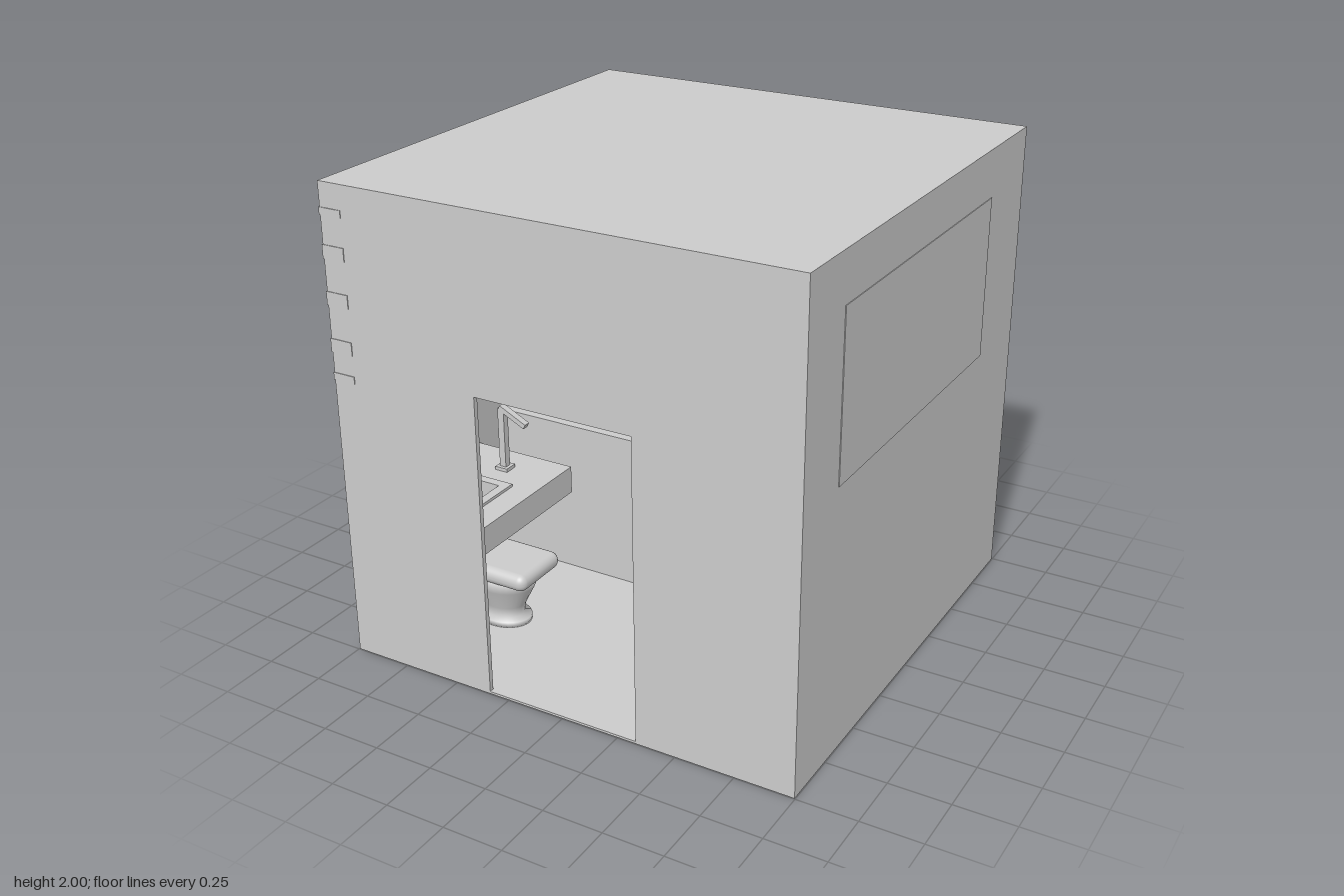
import * as THREE from 'three';
import { RoundedBoxGeometry } from 'three/addons/geometries/RoundedBoxGeometry.js';

const grey = new THREE.MeshStandardMaterial({ color: 0xcccccc });
const W = 0.997; // outer wall plane
const T = 0.02;  // wall thickness
const I = W - T; // inner wall plane

export function createModel() {
  const model = new THREE.Group();

  const add = (name, geometry, parent = model) => {
    const mesh = new THREE.Mesh(geometry, grey);
    mesh.name = name;
    parent.add(mesh);
    return mesh;
  };
  const group = (name) => {
    const g = new THREE.Group();
    g.name = name;
    model.add(g);
    return g;
  };
  // Box given by its limits on each axis
  const box = (name, [x0, x1], [y0, y1], [z0, z1], parent) => {
    const g = new THREE.BoxGeometry(x1 - x0, y1 - y0, z1 - z0);
    return add(name, g.translate((x0 + x1) / 2, (y0 + y1) / 2, (z0 + z1) / 2), parent);
  };
  const rounded = (name, [x0, x1], [y0, y1], [z0, z1], radius, parent) => {
    const g = new RoundedBoxGeometry(x1 - x0, y1 - y0, z1 - z0, 6, radius);
    return add(name, g.translate((x0 + x1) / 2, (y0 + y1) / 2, (z0 + z1) / 2), parent);
  };
  const outline = (points) => new THREE.Shape(points.map(([x, y]) => new THREE.Vector2(x, y)));

  // Shell of the cabin
  const shell = group('shell');
  box('floor', [-W, W], [0, 0.01], [-W, W], shell);
  box('roof', [-W, W], [1.98, 2], [-W, W], shell);
  box('backWall', [-W, W], [0.01, 1.98], [-W, -I], shell);
  for (const s of [-1, 1]) {
    box(s < 0 ? 'rightWall' : 'leftWall', [s < 0 ? -W : I, s < 0 ? -I : W], [0.01, 1.98], [-I, I], shell);
  }

  // Front wall with the doorway cut out
  const front = outline([
    [-W, 0.01], [-0.34, 0.01], [-0.34, 1.28], [0.33, 1.28],
    [0.33, 0.01], [W, 0.01], [W, 1.98], [-W, 1.98],
  ]);
  add('frontWall', new THREE.ExtrudeGeometry(front, { depth: T, bevelEnabled: false }).translate(0, 0, I), shell);

  // Large side window, almost flush with the wall
  box('sideWindow', [I - 0.003, 1], [1.13, 1.8], [-0.63, 0.72]);

  // Horizontal window bands wrapping the back, the side and the front corner
  const slots = group('windowBands');
  for (const [y0, y1] of [[1.87, 1.9], [1.7, 1.755], [1.515, 1.57], [1.325, 1.38], [1.21, 1.24]]) {
    const k = I - 0.003;
    const band = outline([
      [0.25, 1], [-1, 1], [-1, -1], [-0.9, -1], [-0.9, -k], [-k, -k], [-k, k], [0.25, k],
    ]);
    const g = new THREE.ExtrudeGeometry(band, { depth: y1 - y0, bevelEnabled: false });
    add('windowBand', g.rotateX(-Math.PI / 2).translate(0, y0, 0), slots);
  }

  // Raised bed across the back half
  const bed = group('bed');
  box('bedPlatform', [-I, I], [0.01, 0.7], [-I, 0], bed);
  rounded('mattress', [-I, I], [0.7, 0.853], [-I, 0], 0.07, bed);
  rounded('pillow', [0.6, 0.92], [0.84, 0.92], [-0.8, -0.2], 0.039, bed);

  // Counter with a shallow basin
  const wash = group('washstand');
  const hole = new THREE.Path([[-0.87, -0.76], [-0.65, -0.76], [-0.65, -0.46], [-0.87, -0.46]]
    .map(([x, y]) => new THREE.Vector2(x, y)));
  const slab = (name, pts, y, h) => {
    const shape = outline(pts);
    shape.holes.push(hole);
    const g = new THREE.ExtrudeGeometry(shape, { depth: h, bevelEnabled: false });
    add(name, g.rotateX(-Math.PI / 2).translate(0, y, 0), wash);
  };
  slab('counter', [[-I, -I], [-0.5, -I], [-0.5, -0.146], [-I, -0.146]], 0.47, 0.12);
  slab('basinRim', [[-0.91, -0.8], [-0.61, -0.8], [-0.61, -0.42], [-0.91, -0.42]], 0.59, 0.012);
  box('basinBottom', [-0.87, -0.65], [0.47, 0.48], [0.46, 0.76], wash);

  // Tall tap with a sloping spout
  box('tapBase', [-0.765, -0.705], [0.59, 0.605], [0.265, 0.325], wash);
  box('tapStem', [-0.75, -0.72], [0.605, 0.87], [0.28, 0.31], wash);
  const spout = add('tapSpout', new THREE.BoxGeometry(0.14, 0.022, 0.03), wash);
  spout.position.set(-0.68, 0.845, 0.295);
  spout.rotation.z = -0.45;

  // Toilet facing the middle of the room: stacked rounded sections
  const toilet = group('toilet');
  const cx = -0.62, cz = 0.5;
  const bowl = new THREE.LatheGeometry(
    [[0, 0], [0.095, 0], [0.095, 0.025], [0.07, 0.035], [0.075, 0.08], [0.11, 0.17], [0.13, 0.235], [0, 0.235]]
      .map(([x, y]) => new THREE.Vector2(x, y)), 32);
  add('bowl', bowl.scale(1.3, 1, 1).translate(cx, 0.01, cz), toilet);
  rounded('lid', [-0.85, -0.42], [0.235, 0.31], [cz - 0.14, cz + 0.14], 0.036, toilet);
  box('toiletBack', [-I, -0.82], [0.01, 0.4], [cz - 0.14, cz + 0.14], toilet);

  return model;
}
